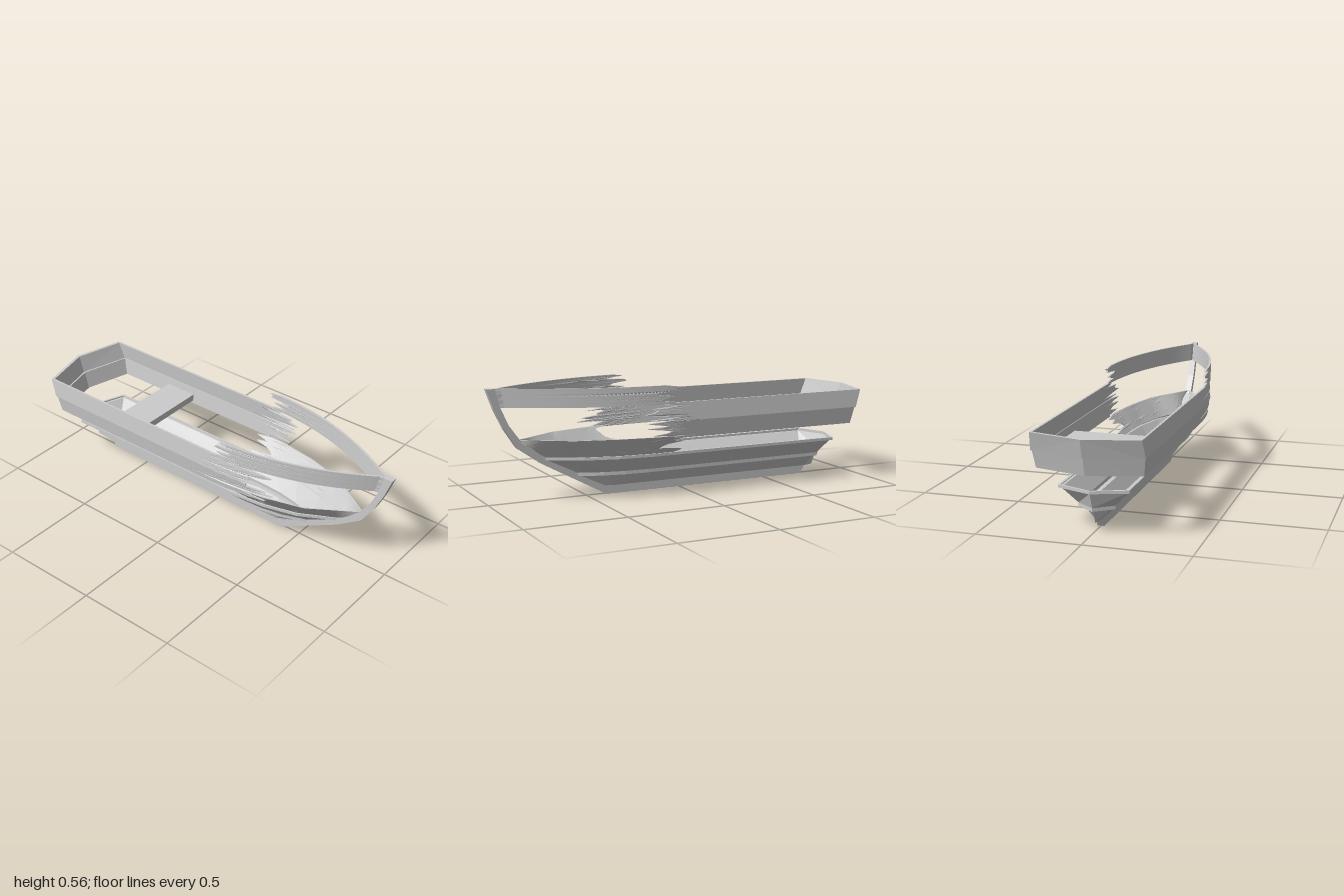
import * as THREE from 'three';

const material = new THREE.MeshStandardMaterial({ color: 0xcccccc, flatShading: true, side: THREE.DoubleSide });

function mesh(geometry, name) {
  const m = new THREE.Mesh(geometry, material);
  m.name = name;
  return m;
}

function build(positions, index) {
  const g = new THREE.BufferGeometry();
  g.setAttribute('position', new THREE.Float32BufferAttribute(positions, 3));
  g.setIndex(index);
  g.computeVertexNormals();
  return g;
}

// Piecewise linear half-width x at depth z, for points [x, z] ordered bow to stern
function widthAt(points, z) {
  for (let i = 0; i < points.length - 1; i++) {
    const [xa, za] = points[i], [xb, zb] = points[i + 1];
    if (z <= za && z >= zb) return xa + (xb - xa) * (za - z) / (za - zb);
  }
  return z > points[0][1] ? points[0][0] : points[points.length - 1][0];
}

// Seeded noise, -0.5 to 0.5, for splintered board ends
function splinter(seed, v) {
  const s = Math.sin(seed * 12.99 + v * 311.7) * 43758.55;
  return s - Math.floor(s) - 0.5;
}

// Thin board: surface(u, v) is the outer face, offset leads to the inner face
function board(surface, offset, nu, nv) {
  const pos = [], index = [], ring = 2 * (nv + 1);
  for (let i = 0; i <= nu; i++) {
    for (let k = 0; k < ring; k++) {
      const inner = k > nv;
      const p = surface(i / nu, (inner ? ring - 1 - k : k) / nv);
      pos.push(...p.map((c, a) => c + (inner ? offset[a] : 0)));
    }
  }
  const quad = (a, b, c, d) => index.push(a, b, c, a, c, d);
  for (let i = 0; i < nu; i++) {
    for (let k = 0; k < ring; k++) {
      const n = (k + 1) % ring;
      quad(i * ring + k, i * ring + n, (i + 1) * ring + n, (i + 1) * ring + k);
    }
  }
  for (const e of [0, nu * ring]) {
    for (let k = 0; k < nv; k++) quad(e + k, e + k + 1, e + ring - 2 - k, e + ring - 1 - k);
  }
  return build(pos, index);
}

const lerp = THREE.MathUtils.lerp;

// Plan curve of the upper sides, running in to a tip at the bow
function bowCurve(z, tip) {
  const t = Math.min(1, Math.max(0, (z - 0.1) / (tip - 0.1)));
  return 0.26 * (1 - Math.pow(t, 2.2));
}

// Half outlines of the lower hull, bow to stern centre
const KEEL = [[0.014, 0.41], [0.016, 0.36], [0.016, 0.28], [0.016, 0.15], [0.016, -0.76], [0, -0.81]];
const CHINE = [[0.016, 0.55], [0.06, 0.43], [0.08, 0.32], [0.087, 0.2], [0.087, -0.785], [0, -0.85]];
const RAIL = [[0.016, 0.715], [0.105, 0.55], [0.15, 0.38], [0.167, 0.2], [0.167, -0.83], [0, -0.89]];
const SHEER = [[0.01, 0.84], [0.15, 0.62], [0.205, 0.42], [0.235, 0.22], [0.24, 0]];

function lowerHull() {
  // [outline, height, inset] from keel up, with a lip at each plank edge
  const levels = [
    [KEEL, 0.04, 0], [CHINE, 0.103, 0.022], [CHINE, 0.103, 0], [CHINE, 0.12, 0],
    [RAIL, 0.196, 0.012], [RAIL, 0.196, 0], [RAIL, 0.21, 0], [RAIL, 0.21, 0.012],
  ];
  const pos = [], index = [];
  for (const [outline, y, inset] of levels) {
    const half = outline.map(([x, z], i) => [Math.max(i === 5 ? 0 : 0.012, x - inset), z + (i > 3 ? inset * 0.7 : 0)]);
    const loop = [...half, ...half.slice(0, 5).reverse().map(([x, z]) => [-x, z])];
    loop.forEach(([x, z]) => pos.push(x, y, z));
  }
  const n = 11;
  for (let l = 0; l < levels.length - 1; l++) {
    for (let i = 0; i < n; i++) {
      const a = l * n + i, b = l * n + (i + 1) % n;
      index.push(a, a + n, b + n, a, b + n, b);
    }
  }
  return build(pos, index);
}

function stemAndKeel() {
  const shape = new THREE.Shape([
    [1, 0.556], [0.965, 0.46], [0.92, 0.365], [0.855, 0.265], [0.73, 0.178], [0.4, 0], [-0.73, 0],
    [-0.755, 0.042], [0.4, 0.042], [0.705, 0.205], [0.83, 0.29], [0.895, 0.38], [0.935, 0.47], [0.957, 0.556],
  ].map(p => new THREE.Vector2(...p)));
  const g = new THREE.ExtrudeGeometry(shape, { depth: 0.032, bevelEnabled: false });
  return g.rotateY(-Math.PI / 2).translate(0.016, 0, 0);
}

export function createModel() {
  const boat = new THREE.Group();
  boat.name = 'brokenBoat';
  boat.add(mesh(stemAndKeel(), 'stemAndKeel'), mesh(lowerHull(), 'lowerHull'));

  // Bench across the stern half
  const seat = mesh(new THREE.BoxGeometry(0.5, 0.035, 0.175), 'seat');
  seat.position.set(0, 0.327, -0.475);
  boat.add(seat);

  // Side strakes: bottom and top height, half-width, and stern corner depth
  const strakes = [
    { name: 'lowerStrake', y: [0.295, 0.382], x: [0.25, 0.261], corner: [-0.88, -0.9], centre: [-0.945, -0.967] },
    { name: 'upperStrake', y: [0.38, 0.47], x: [0.265, 0.257], corner: [-0.905, -0.935], centre: [-0.975, -1] },
  ];

  for (const side of [1, -1]) {
    const label = side > 0 ? 'Left' : 'Right';
    const inward = [-side * 0.011, 0, 0];
    const broken = side > 0 ? 0.15 : 0.33;

    // Bow rail board, splintered at its aft end
    boat.add(mesh(board((u, v) => {
      const tip = lerp(0.94, 0.962, v);
      const end = (side > 0 ? 0.18 : 0.23) + 0.13 * splinter(side + 3, v);
      const z = lerp(tip, end, u);
      return [side * Math.max(0.011, bowCurve(z, tip)), lerp(0.465, 0.556, v), z];
    }, inward, 28, 10), 'bowRail' + label));

    // Bow plank above the lower hull
    boat.add(mesh(board((u, v) => {
      const end = broken - 0.03 + 0.14 * splinter(side + 7, v);
      const z = lerp(lerp(0.715, 0.84, v), end, u);
      const low = widthAt(RAIL, z - v * 0.0) - 0.01;
      const tipBlend = Math.min(1, Math.max(0, (0.84 - z) / 0.125));
      const x = lerp(low * (v < 1 ? tipBlend : 1), widthAt(SHEER, z), v);
      return [side * Math.max(0.01, x), lerp(0.207, 0.303, v), z];
    }, [-side * 0.008, 0, 0], 24, 9), 'bowPlank' + label));

    strakes.forEach((s, i) => {
      // Side board, splintered at its forward end
      boat.add(mesh(board((u, v) => {
        const end = broken + 0.05 + 0.2 * splinter(side + 11 + i, v);
        const z = lerp(lerp(...s.corner, v), end, u);
        const x = lerp(...s.x, v) * (z > 0.1 ? bowCurve(z, 0.92) / 0.26 : 1);
        return [side * x, lerp(...s.y, v), z];
      }, inward, 16, 10), s.name + label));

      // Half of the pointed transom
      boat.add(mesh(board((u, v) => [
        side * lerp(...s.x, v) * (1 - u),
        lerp(...s.y, v),
        lerp(lerp(...s.corner, v), lerp(...s.centre, v), u),
      ], [0, 0, 0.015], 1, 1), s.name + 'Transom' + label));
    });
  }
  return boat;
}
